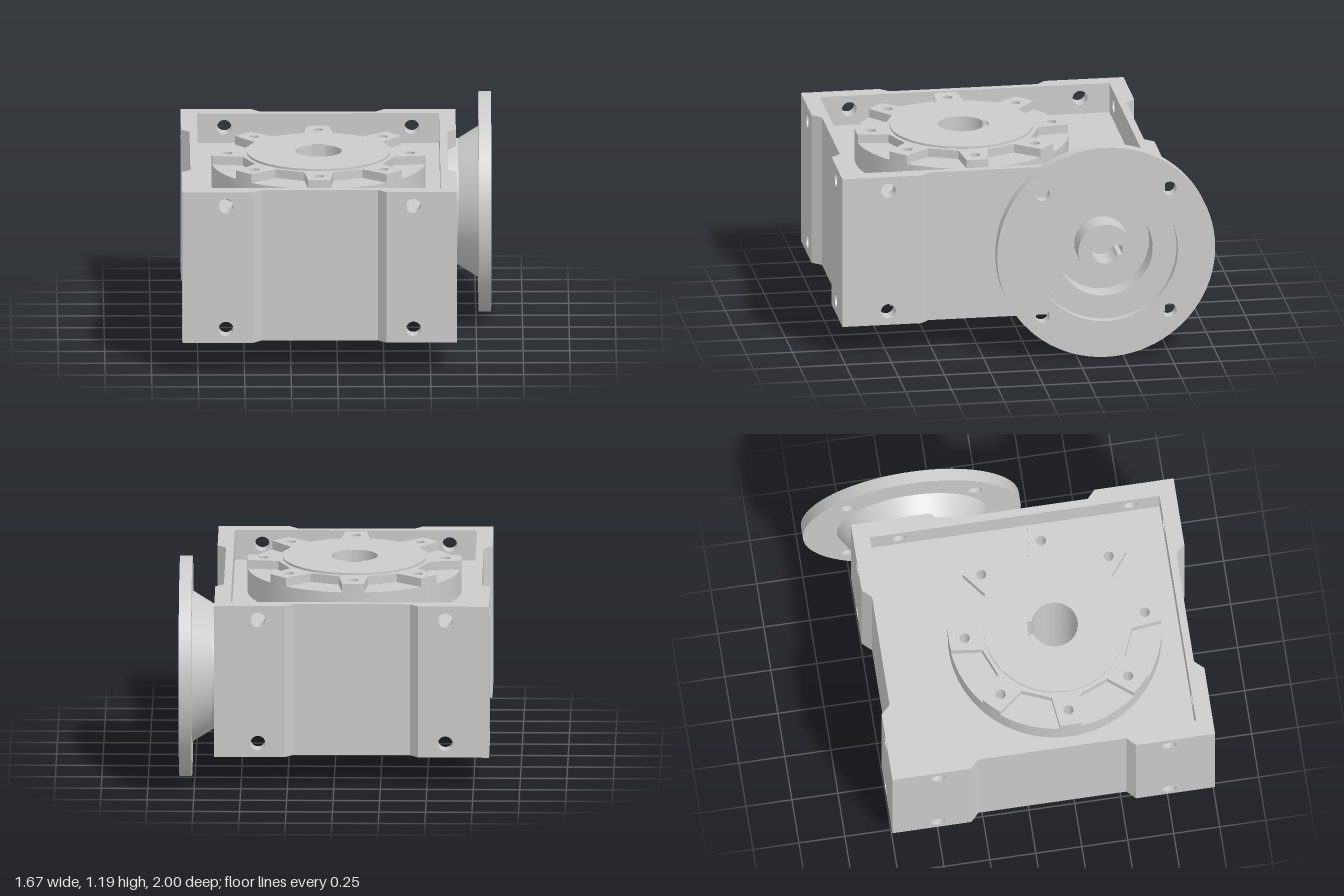
import * as THREE from 'three';
import { toCreasedNormals } from 'three/addons/utils/BufferGeometryUtils.js';

const MID = 0.5965; // mid height of the housing
const mat = new THREE.MeshStandardMaterial({ color: 0xcccccc });

function add(parent, name, geo) {
  const mesh = new THREE.Mesh(toCreasedNormals(geo, 0.5), mat);
  mesh.name = name;
  parent.add(mesh);
  return mesh;
}

const extrude = (shape, from, to) => new THREE.ExtrudeGeometry(shape, {
  depth: to - from, bevelEnabled: false, curveSegments: 40,
}).translate(0, 0, from);

// Extrusions that run along y or along x
const alongY = (shape, from, to) => extrude(shape, from, to).rotateX(-Math.PI / 2);
const alongX = (shape, from, to) => extrude(shape, from, to).rotateY(Math.PI / 2);

function disc(x, y, r) {
  const s = new THREE.Shape();
  s.absarc(x, y, r, 0, Math.PI * 2, false);
  return s;
}

function poly(points) {
  return new THREE.Shape(points.map(([x, y]) => new THREE.Vector2(x, y)));
}

const rect = (x0, y0, x1, y1) => poly([[x0, y0], [x1, y0], [x1, y1], [x0, y1]]);

// Round bore with a keyway centred on the given angle
function keyedBore(r, halfKey, reach, angle) {
  const p = new THREE.Path();
  const a = Math.asin(halfKey / r);
  const c = Math.cos(angle), s = Math.sin(angle);
  p.absarc(0, 0, r, angle + a, angle + Math.PI * 2 - a, false);
  p.lineTo(reach * c + halfKey * s, reach * s - halfKey * c);
  p.lineTo(reach * c - halfKey * s, reach * s + halfKey * c);
  p.closePath();
  return p;
}

// One side of the housing, facing +z: thin wall, two raised pads, chamfers
function housingSide(o) {
  const side = new THREE.Group();
  side.name = 'housingSide';
  const y0 = 0.178, y1 = 1.015, holeY = [0.255, 0.938];

  const wall = rect(-o.wallHalf, y0, o.wallHalf, y1);
  for (const u of [-o.hole, o.hole]) {
    for (const y of holeY) wall.holes.push(disc(u, y, 0.04));
  }
  add(side, 'wall', extrude(wall, o.inner, o.middle));

  for (const s of [-1, 1]) {
    const edges = [s * o.pad, s * o.half].sort((a, b) => a - b);
    const pad = rect(edges[0], y0, edges[1], y1);
    for (const y of holeY) pad.holes.push(disc(s * o.hole, y, 0.04));
    add(side, 'mountingPad', extrude(pad, o.middle, o.outer));
    const ramp = poly([[s * o.pad, -o.middle], [s * o.pad, -o.outer], [s * (o.pad - 0.045), -o.middle]]);
    add(side, 'padChamfer', alongY(ramp, y0, y1));
  }
  return side;
}

// Outline of the bolting face: eight lugs divided by open pockets
function lugOutline() {
  const s = new THREE.Shape(), R = 0.575, r = 0.415;
  const outer = 0.103, inner = 0.19;
  for (let i = 0; i < 8; i++) {
    const a = i * Math.PI / 4;
    const x = r * Math.cos(a - inner), y = r * Math.sin(a - inner);
    if (i === 0) s.moveTo(x, y); else s.lineTo(x, y);
    s.lineTo(R * Math.cos(a - outer), R * Math.sin(a - outer));
    s.absarc(0, 0, R, a - outer, a + outer, false);
    s.lineTo(r * Math.cos(a + inner), r * Math.sin(a + inner));
  }
  s.closePath();
  return s;
}

function createHousing() {
  const housing = new THREE.Group();
  housing.name = 'housing';
  const broad = { half: 0.739, wallHalf: 0.693, inner: 0.7875, middle: 0.8275, outer: 0.8775, pad: 0.358, hole: 0.504 };
  const long = { half: 0.8775, wallHalf: 0.8275, inner: 0.651, middle: 0.693, outer: 0.739, pad: 0.4475, hole: 0.6275 };
  for (let i = 0; i < 4; i++) {
    const side = housingSide(i % 2 ? long : broad);
    side.rotation.y = i * Math.PI / 2;
    housing.add(side);
  }
  // Solid core between the top and bottom recesses
  const core = rect(-0.67, -0.81, 0.67, 0.81);
  core.holes.push(disc(-0.002, -0.1175, 0.3));
  add(housing, 'core', alongY(core, 2 * MID - 0.85, 0.85));
  housing.position.set(-0.096, 0, 0.1225);
  return housing;
}

function createHub() {
  const hub = new THREE.Group();
  hub.name = 'outputHub';

  // Sleeve with the keyed through bore
  const sleeve = disc(0, 0, 0.385);
  sleeve.holes.push(keyedBore(0.125, 0.036, 0.147, Math.PI / 2));
  add(hub, 'boreSleeve', alongY(sleeve, 2 * MID - 1.045, 1.045));

  // Round cover and lugged bolting face at both ends
  const cover = disc(0, 0, 0.575), lugs = lugOutline();
  for (const s of [cover, lugs]) {
    s.holes.push(disc(0, 0, 0.37));
    for (let i = 0; i < 8; i++) {
      const a = i * Math.PI / 4;
      s.holes.push(disc(0.49 * Math.cos(a), 0.49 * Math.sin(a), 0.027));
    }
  }
  add(hub, 'topCover', alongY(cover, 0.84, 0.985));
  add(hub, 'topLugs', alongY(lugs, 0.985, 1.033));
  add(hub, 'bottomCover', alongY(cover, 2 * MID - 0.985, 2 * MID - 0.84));
  add(hub, 'bottomLugs', alongY(lugs, 2 * MID - 1.033, 2 * MID - 0.985));
  hub.position.set(-0.098, 0, 0.24);
  return hub;
}

function createInput() {
  const input = new THREE.Group();
  input.name = 'inputFlange';

  // Flange plate with four bolt holes
  const plate = disc(0, 0, 0.593);
  plate.holes.push(disc(0, 0, 0.39));
  for (const y of [-0.345, 0.345]) {
    for (const z of [-0.345, 0.345]) plate.holes.push(disc(z, y, 0.038));
  }
  add(input, 'flangePlate', alongX(plate, 0.765, 0.832));

  // Neck, cone, stepped register and shaft pocket
  const profile = [
    [0.34, 0.58], [0.34, 0.655], [0.408, 0.765], [0.39, 0.785],
    [0.26, 0.785], [0.26, 0.66], [0.14, 0.66],
  ].map(([r, x]) => new THREE.Vector2(r, x));
  add(input, 'flangeNeck', new THREE.LatheGeometry(profile, 64).rotateZ(-Math.PI / 2));

  // Hollow input shaft with keyway
  const shaft = disc(0, 0, 0.147);
  shaft.holes.push(keyedBore(0.072, 0.025, 0.093, 0));
  add(input, 'inputShaft', alongX(shaft, 0.6, 0.805));

  input.position.set(0, 0.593, -0.405);
  return input;
}

export function createModel() {
  const model = new THREE.Group();
  model.name = 'wormGearbox';
  model.add(createHousing(), createHub(), createInput());
  return model;
}
